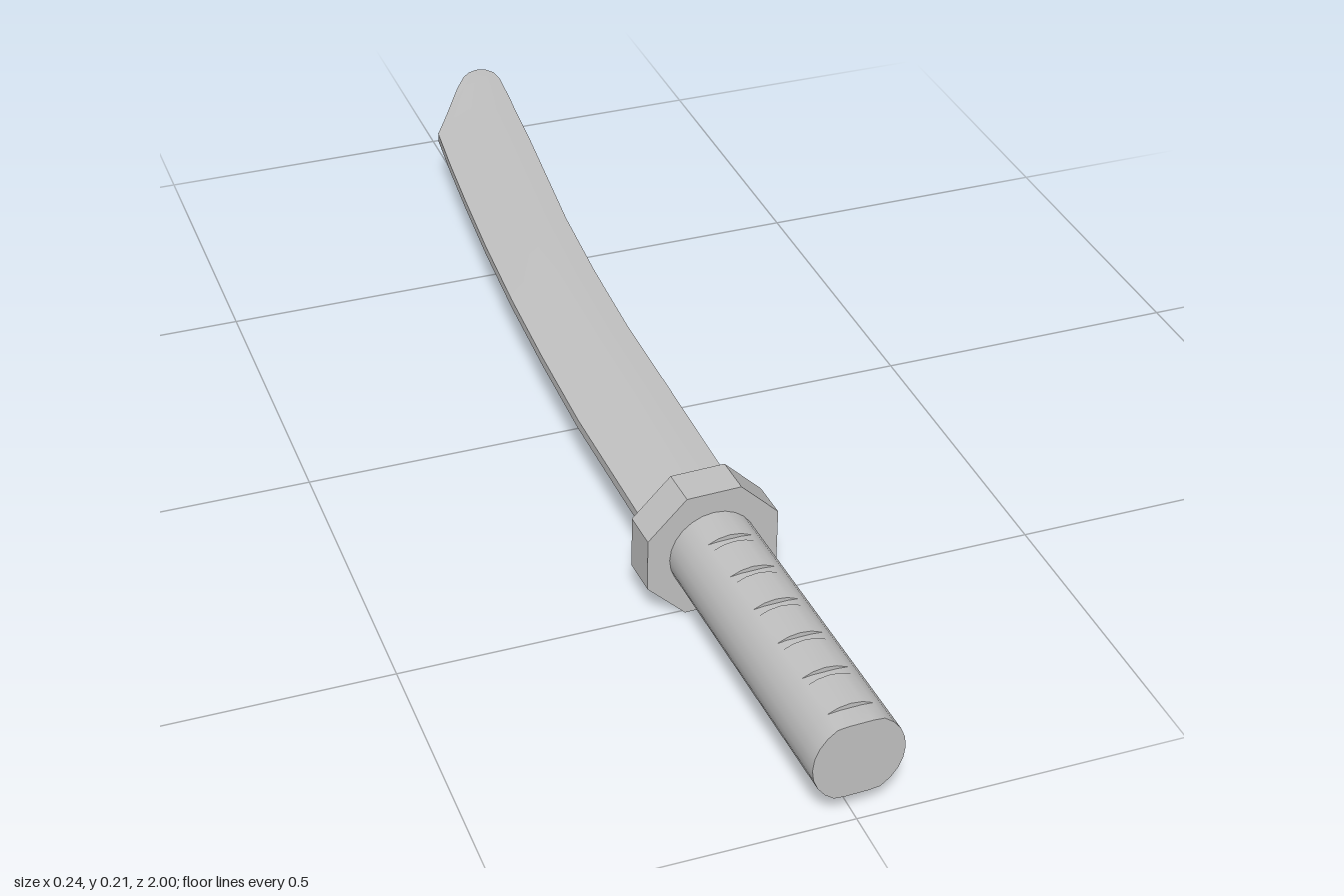
import * as THREE from 'three';
import { toCreasedNormals } from 'three/addons/utils/BufferGeometryUtils.js';

const MID_Y = 0.103;

// Blade stations: z, cutting edge x, spine x
const STATIONS = [
  [0.46, -0.092, 0.053], [0.13, -0.097, 0.054], [-0.06, -0.093, 0.054], [-0.24, -0.086, 0.06],
  [-0.42, -0.075, 0.071], [-0.58, -0.062, 0.087], [-0.71, -0.05, 0.1], [-0.83, -0.037, 0.11],
  [-0.87, -0.012, 0.114], [-0.95, 0.036, 0.12], [-0.98, 0.058, 0.117], [-0.994, 0.073, 0.107],
  [-1, 0.088, 0.094],
];

// Half thickness: full near the spine, bevelled towards the cutting edge
function halfThickness(fromSpine) {
  const t = THREE.MathUtils.clamp((fromSpine - 0.065) / 0.08, 0, 1);
  return THREE.MathUtils.lerp(0.034, 0.008, t);
}

function bladeGeometry() {
  const cols = 6, ring = cols * 2, pos = [], index = [];
  for (const [z, xl, xr] of STATIONS) {
    for (let k = 0; k < ring; k++) {
      const top = k < cols;
      const x = THREE.MathUtils.lerp(xl, xr, (top ? k : ring - 1 - k) / (cols - 1));
      const h = halfThickness(xr - x);
      pos.push(x, MID_Y + (top ? h : -h), z);
    }
  }
  for (let i = 0; i < STATIONS.length - 1; i++) {
    for (let k = 0; k < ring; k++) {
      const a = i * ring + k, b = i * ring + (k + 1) % ring;
      index.push(a, b, b + ring, a, b + ring, a + ring);
    }
  }
  // Tip cap
  const last = (STATIONS.length - 1) * ring;
  for (let k = 1; k < ring - 1; k++) index.push(last, last + k, last + k + 1);
  const geo = new THREE.BufferGeometry();
  geo.setAttribute('position', new THREE.Float32BufferAttribute(pos, 3));
  geo.setIndex(index);
  return toCreasedNormals(geo, 0.6);
}

// Round grip with shallow flat notches cut across the top and bottom
function gripGeometry() {
  const rows = [[-0.03, false]];
  for (let i = 0; i < 6; i++) {
    const z = 0.01 + i * 0.08, w = 0.008;
    rows.push([z + 0.06 - w, false], [z + 0.06 - w, true], [z + 0.06 + w, true], [z + 0.06 + w, false]);
  }
  rows.splice(-2); // the last notch runs out at the pommel end
  rows.push([0.496, true]);
  const r = 0.0685, geo = new THREE.CylinderGeometry(r, r, 1, 24, rows.length - 1);
  geo.rotateX(Math.PI / 2);
  const p = geo.attributes.position;
  for (let i = 0; i < p.count; i++) {
    const [z, notched] = rows[Math.round((p.getZ(i) + 0.5) * (rows.length - 1))];
    p.setZ(i, z);
    if (notched) p.setY(i, THREE.MathUtils.clamp(p.getY(i), -0.061, 0.061));
  }
  return toCreasedNormals(geo, 0.6);
}

function guardGeometry() {
  const r = 0.103 / Math.cos(Math.PI / 8);
  const geo = new THREE.CylinderGeometry(r, r, 0.062, 8);
  geo.rotateY(Math.PI / 8);
  geo.rotateX(Math.PI / 2);
  return toCreasedNormals(geo, 0.5);
}

export function createModel() {
  const model = new THREE.Group();
  model.name = 'curvedSword';
  const grey = new THREE.MeshStandardMaterial({ color: 0xc0c0c0 });
  grey.name = 'plain grey';

  const add = (parent, name, geo) => {
    const mesh = new THREE.Mesh(geo, grey);
    mesh.name = name;
    parent.add(mesh);
    return mesh;
  };

  add(model, 'blade', bladeGeometry());

  // Guard and grip follow the slight curve of the sword
  const hilt = new THREE.Group();
  hilt.name = 'hilt';
  hilt.position.set(-0.017, MID_Y, 0.5);
  hilt.rotation.y = 0.035;
  model.add(hilt);
  add(hilt, 'guard', guardGeometry()).position.z = -0.027;
  add(hilt, 'grip', gripGeometry());

  return model;
}
